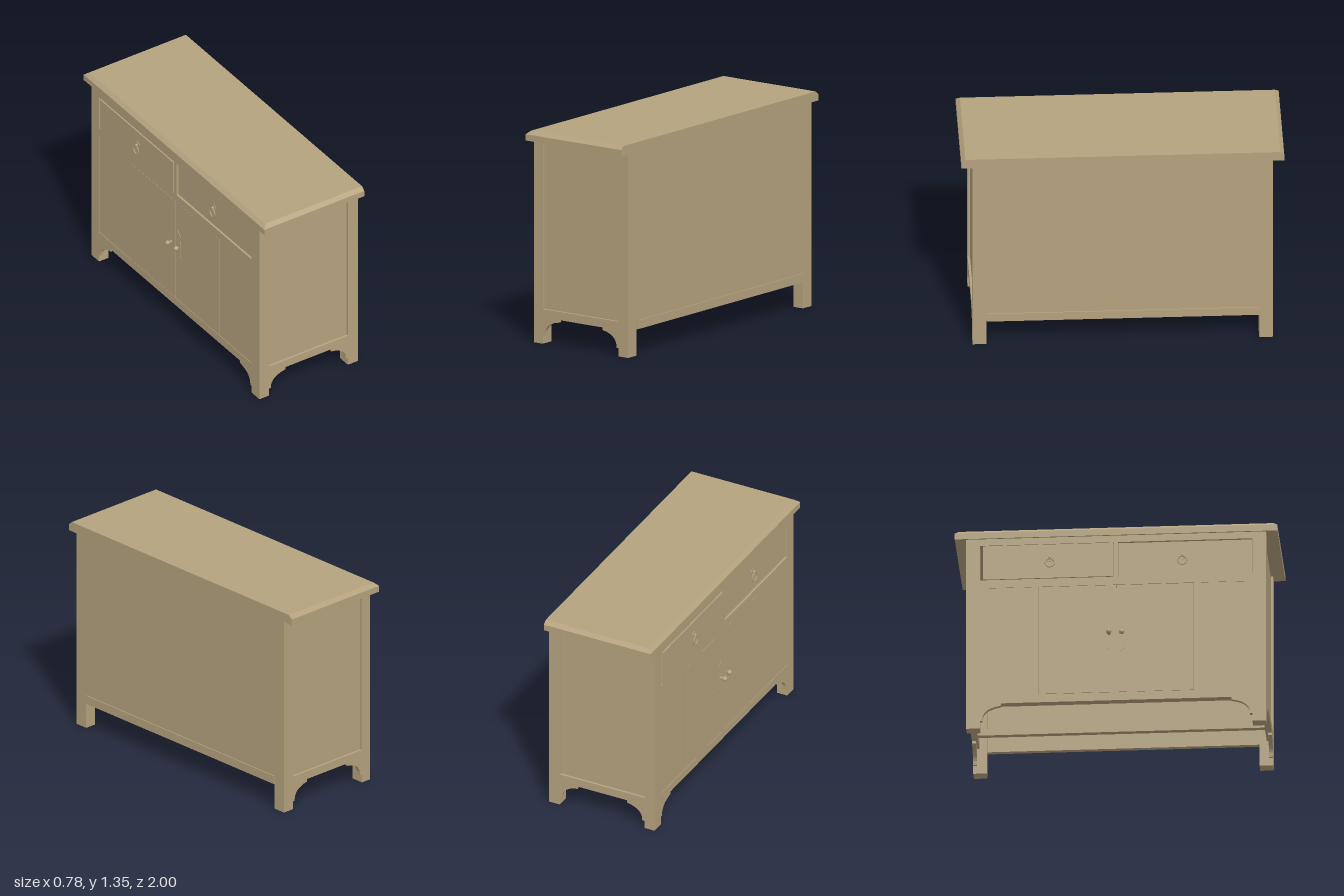
import * as THREE from 'three';
import { ConvexGeometry } from 'three/addons/geometries/ConvexGeometry.js';

// Sideboard whose doors face -x and whose length runs along z.
export function createModel() {
  const root = new THREE.Group();
  const wood = new THREE.MeshStandardMaterial({ color: 0xb5a27e, side: THREE.DoubleSide });

  const add = (name, geometry, parent = root) => {
    const mesh = new THREE.Mesh(geometry, wood);
    mesh.name = name;
    parent.add(mesh);
    return mesh;
  };
  const box = (name, x0, x1, y0, y1, z0, z1) => {
    const m = add(name, new THREE.BoxGeometry(x1 - x0, y1 - y0, z1 - z0));
    m.position.set((x0 + x1) / 2, (y0 + y1) / 2, (z0 + z1) / 2);
    return m;
  };

  // Table top, bevelled along the front and both ends
  const corners = [];
  for (const [y, inset] of [[1.29, 0], [1.33, 0], [1.352, 0.025]])
    for (const s of [-1, 1])
      corners.push(new THREE.Vector3(-0.36 + inset, y, s * (1 - inset)),
        new THREE.Vector3(0.385, y, s * (1 - inset)));
  add('tableTop', new ConvexGeometry(corners));

  // Curved foot bracket: local x runs away from the leg
  const bracketGeometry = (width, depth) => {
    const s = new THREE.Shape();
    s.moveTo(0, 0.167);
    s.lineTo(0, 0.052);
    s.lineTo(0.015, 0.052);
    s.lineTo(0.018, 0.08);
    s.quadraticCurveTo(0.035, 0.137, width, 0.15);
    s.lineTo(width, 0.167);
    s.closePath();
    return new THREE.ExtrudeGeometry(s, { depth, bevelEnabled: false, curveSegments: 6 });
  };

  // Ends: legs, recessed panel, rail and brackets
  for (const s of [-1, 1]) {
    const zBox = (name, x0, x1, y0, y1, a, b) =>
      box(name, x0, x1, y0, y1, Math.min(s * a, s * b), Math.max(s * a, s * b));
    zBox('frontLeg', -0.35, -0.28, 0, 1.29, 0.845, 0.93);
    zBox('backLeg', 0.31, 0.385, 0, 1.29, 0.845, 0.93);
    zBox('endPanel', -0.28, 0.31, 0.22, 1.29, 0.895, 0.915);
    zBox('endRail', -0.28, 0.31, 0.167, 0.22, 0.89, 0.93);
    for (const d of [-1, 1]) {
      const b = add('endBracket', bracketGeometry(0.123, 0.025));
      b.rotation.y = d < 0 ? 0 : Math.PI;
      const near = s > 0 ? 0.905 : -0.93;
      b.position.set(d < 0 ? -0.28 : 0.31, 0, d < 0 ? near : near + 0.025);
    }
    const f = add('frontBracket', bracketGeometry(0.13, 0.025));
    f.rotation.y = s * Math.PI / 2;
    f.position.set(s > 0 ? -0.35 : -0.325, 0, s * 0.845);
  }

  // Back
  box('backPanel', 0.36, 0.385, 0.167, 1.29, -0.845, 0.845);
  box('backRail', 0.36, 0.391, 0.167, 0.222, -0.845, 0.84);
  box('floorRail', 0.13, 0.165, 0.175, 0.215, -0.89, 0.89);

  // Front frame
  box('frontTopRail', -0.35, -0.30, 1.245, 1.29, -0.845, 0.845);
  box('frontMiddleRail', -0.35, -0.30, 0.955, 1.01, -0.845, 0.845);
  box('frontBottomRail', -0.35, -0.30, 0.167, 0.222, -0.845, 0.845);
  box('drawerDivider', -0.35, -0.30, 1.01, 1.245, -0.017, 0.012);
  for (const s of [-1, 1])
    box('frontStile', -0.333, -0.29, 0.222, 0.955, s * 0.485 - 0.03, s * 0.485 + 0.03);

  // Fixed side panels and the pair of doors
  box('leftSidePanel', -0.347, -0.325, 0.222, 0.955, 0.483, 0.845);
  box('rightSidePanel', -0.347, -0.325, 0.222, 0.955, -0.845, -0.483);
  box('leftDoor', -0.349, -0.325, 0.224, 0.953, 0.002, 0.481);
  box('rightDoor', -0.35, -0.325, 0.224, 0.953, -0.481, -0.002);

  // Drawers: one sits slightly proud, the other slightly recessed
  box('rightDrawer', -0.355, -0.31, 1.012, 1.24, -0.825, -0.019);
  box('leftDrawer', -0.338, -0.30, 1.012, 1.243, 0.014, 0.843);

  // Ring pulls
  const ringPull = (x, z) => {
    const g = new THREE.Group();
    g.name = 'drawerPull';
    const plate = add('pullPlate', new THREE.CylinderGeometry(0.024, 0.024, 0.005, 16), g);
    plate.rotation.z = Math.PI / 2;
    plate.position.y = 0.025;
    const stud = add('pullStud', new THREE.SphereGeometry(0.01, 12, 8), g);
    stud.position.set(-0.008, 0.025, 0);
    const ring = add('pullRing', new THREE.TorusGeometry(0.028, 0.004, 8, 24), g);
    ring.rotation.y = Math.PI / 2;
    ring.position.set(-0.011, -0.01, 0);
    g.position.set(x, 1.12, z);
    root.add(g);
  };
  ringPull(-0.356, -0.41);
  ringPull(-0.339, 0.41);

  // Door knobs turned on a lathe, each on a thin curved plate
  const knobProfile = [[0, 0], [0.013, 0], [0.013, 0.004], [0.007, 0.008], [0.007, 0.013],
    [0.013, 0.017], [0.017, 0.026], [0.014, 0.036], [0.007, 0.042], [0, 0.043]]
    .map(([r, h]) => new THREE.Vector2(r, h));
  const plateShape = new THREE.Shape();
  plateShape.moveTo(0, -0.125);
  plateShape.quadraticCurveTo(0.05, -0.1, 0.03, -0.05);
  plateShape.quadraticCurveTo(0.045, 0, 0.03, 0.05);
  plateShape.quadraticCurveTo(0.05, 0.1, 0, 0.125);
  plateShape.closePath();
  const plateGeometry = new THREE.ExtrudeGeometry(plateShape,
    { depth: 0.003, bevelEnabled: false, curveSegments: 6 });
  for (const [s, x, z] of [[-1, -0.351, -0.044], [1, -0.342, 0.036]]) {
    const knob = add('doorKnob', new THREE.LatheGeometry(knobProfile, 20));
    knob.rotation.z = Math.PI / 2;
    knob.position.set(x, 0.625, z);
    const plate = add('knobPlate', plateGeometry);
    plate.rotation.y = -s * Math.PI / 2;
    plate.position.set(s < 0 ? -0.352 : -0.349, 0.625, s < 0 ? -0.03 : 0.022);
  }
  return root;
}
